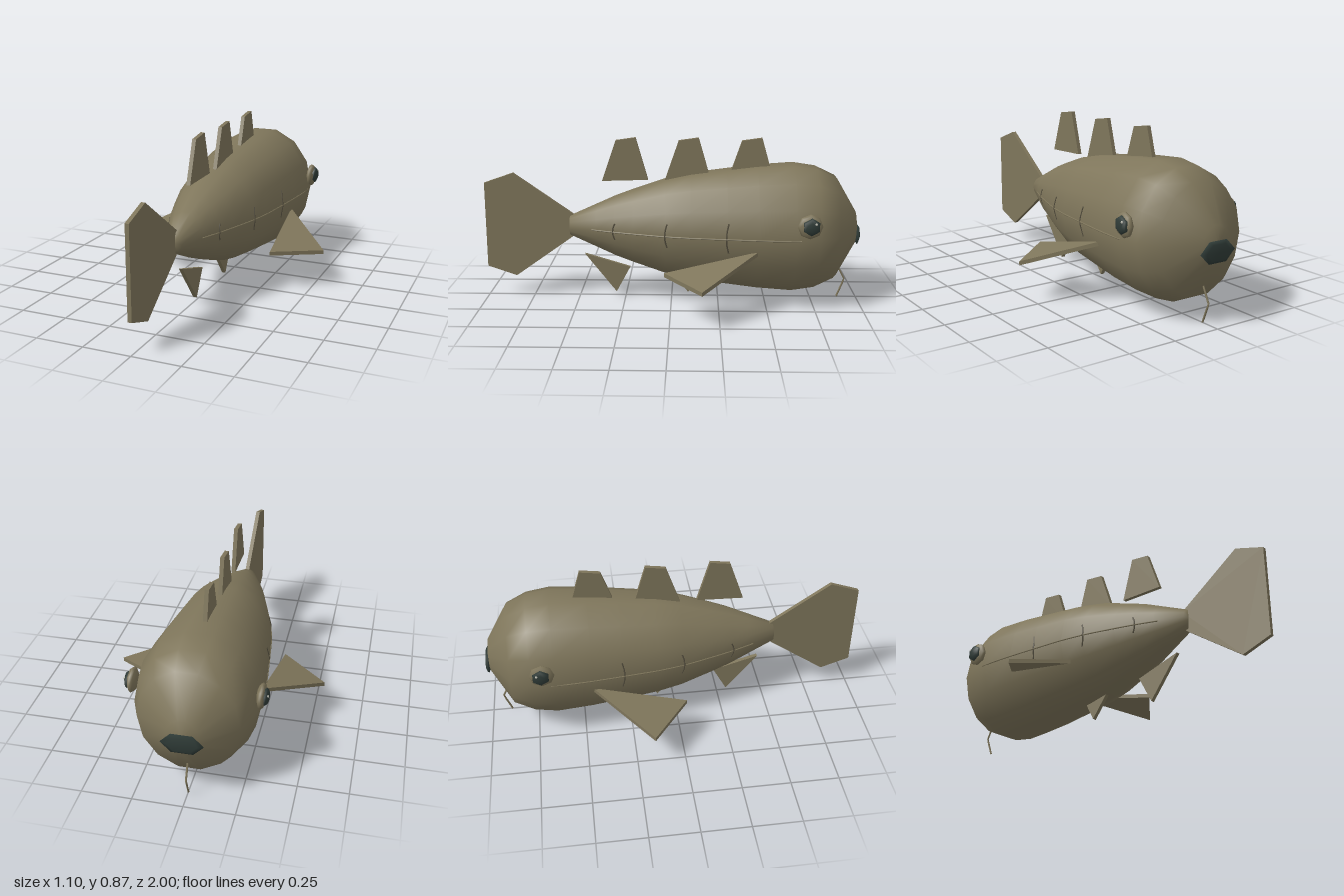
import * as THREE from 'three';

const mat = (name, color) => {
  const m = new THREE.MeshStandardMaterial({ color });
  m.name = name;
  return m;
};

export function createModel() {
  const skin = mat('olive skin', 0x7f765b);
  const dark = mat('dark eye and mouth', 0x2f3b37);
  const mark = mat('flank mark', 0x565040);
  const glint = mat('eye glint', 0xb8b8ac);

  const fish = new THREE.Group();
  fish.name = 'fish';
  const add = (name, geometry, material, x = 0, y = 0, z = 0) => {
    const m = new THREE.Mesh(geometry, material);
    m.name = name;
    m.position.set(x, y, z);
    fish.add(m);
    return m;
  };

  // Body: 14-sided lathe along z, narrower than tall; head at -z
  const MID = 0.396, NARROW = 0.88;
  const profile = [
    [0, -0.985], [0.09, -0.975], [0.278, -0.865], [0.328, -0.76], [0.346, -0.64],
    [0.332, -0.45], [0.312, -0.29], [0.287, -0.1], [0.258, 0.03], [0.2, 0.2],
    [0.163, 0.3], [0.118, 0.4], [0.053, 0.545], [0, 0.55],
  ];
  const body = new THREE.LatheGeometry(
    profile.map(([r, z]) => new THREE.Vector2(r, z)), 14, Math.PI / 2);
  body.rotateX(Math.PI / 2).scale(NARROW, 1, 1);
  add('body', body, skin, 0, MID, 0);

  // Height radius of the body at a given z
  const radiusAt = (z) => {
    const i = profile.findIndex((p) => p[1] >= z);
    const [r0, z0] = profile[i - 1], [r1, z1] = profile[i];
    return r0 + ((r1 - r0) * (z - z0)) / (z1 - z0);
  };

  // Flat upright fins, outlined as [z, y]
  const T = 0.021;
  const uprightFin = (name, points, shift = 0) => {
    const shape = new THREE.Shape(points.map(([z, y]) => new THREE.Vector2(z + shift, y)));
    const g = new THREE.ExtrudeGeometry(shape, { depth: T, bevelEnabled: false });
    g.translate(0, 0, -T / 2).rotateY(-Math.PI / 2);
    add(name, g, skin);
  };
  for (let i = 0; i < 3; i++) {
    uprightFin('dorsalFin' + (i + 1),
      [[0.37, 0.64], [0.295, 0.857], [0.19, 0.872], [0.125, 0.647]], -0.332 * i);
  }
  for (let i = 0; i < 2; i++) {
    uprightFin('bellyFin' + (i + 1), [[0.468, 0.237], [0.225, 0.164], [0.3, 0.024]], -0.39 * i);
  }
  uprightFin('tailFin',
    [[1, 0.626], [0.845, 0.68], [0.51, 0.445], [0.51, 0.35], [0.845, 0.112], [1, 0.166]]);

  // Mouth: flattened six-sided lozenge
  add('mouth', new THREE.SphereGeometry(1, 6, 4).rotateX(Math.PI / 2), dark, 0, 0.364, -0.985)
    .scale.set(0.103, 0.06, 0.015);

  // Chin barbel
  const barbel = new THREE.CurvePath();
  const bp = [[-0.885, 0.2], [-0.935, 0.103], [-0.897, 0.004]]
    .map(([z, y]) => new THREE.Vector3(0, y, z));
  barbel.add(new THREE.LineCurve3(bp[0], bp[1]));
  barbel.add(new THREE.LineCurve3(bp[1], bp[2]));
  add('barbel', new THREE.TubeGeometry(barbel, 8, 0.005, 6), skin);

  for (const s of [1, -1]) {
    const side = s > 0 ? 'left' : 'right';

    // Side fin: thin triangle sloping down and outwards
    const outline = [[0.27, -0.45], [0.55, -0.16], [0.312, 0.032]];
    const fin = new THREE.ExtrudeGeometry(
      new THREE.Shape(outline.map(([x, z]) => new THREE.Vector2(s * x, -z))),
      { depth: T, bevelEnabled: false });
    fin.rotateX(-Math.PI / 2);
    const p = fin.attributes.position;
    for (let i = 0; i < p.count; i++) {
      p.setY(i, p.getY(i) + 0.288 - 0.242 * Math.abs(p.getX(i)) - 0.194 * p.getZ(i));
    }
    fin.computeVertexNormals();
    add(side + 'SideFin', fin, skin);

    // Eye with dark pupil and glint
    const ball = new THREE.SphereGeometry(1, 8, 6).rotateZ(Math.PI / 2);
    add(side + 'Eye', ball, skin, s * 0.31, 0.474, -0.7).scale.set(0.024, 0.064, 0.064);
    const pupil = new THREE.SphereGeometry(1, 6, 6).rotateZ(Math.PI / 2);
    add(side + 'Pupil', pupil, dark, s * 0.328, 0.476, -0.705).scale.set(0.019, 0.046, 0.046);
    add(side + 'Glint', new THREE.SphereGeometry(0.007, 6, 4), glint, s * 0.341, 0.494, -0.725);

    // Lateral line along the widest ridge
    const line = [];
    for (let z = -0.66; z < 0.43; z += 0.09) {
      line.push(new THREE.Vector3(s * NARROW * radiusAt(z), MID - 0.002, z));
    }
    add(side + 'LateralLine',
      new THREE.TubeGeometry(new THREE.CatmullRomCurve3(line), 32, 0.004, 6), skin);

    // Short curved marks across the flank: [z, half height]
    for (const [z, h] of [[-0.29, 0.077], [0.025, 0.062], [0.3, 0.043]]) {
      const arc = [-1, -0.5, 0, 0.5, 1].map((t) => {
        const zz = z + 0.012 * (1 - t * t) - 0.006;
        const x = NARROW * (radiusAt(zz) - 0.228 * Math.abs(t) * h);
        return new THREE.Vector3(s * x, MID + t * h, zz);
      });
      add(side + 'FlankMark',
        new THREE.TubeGeometry(new THREE.CatmullRomCurve3(arc), 8, 0.004, 5), mark);
    }
  }
  return fish;
}
